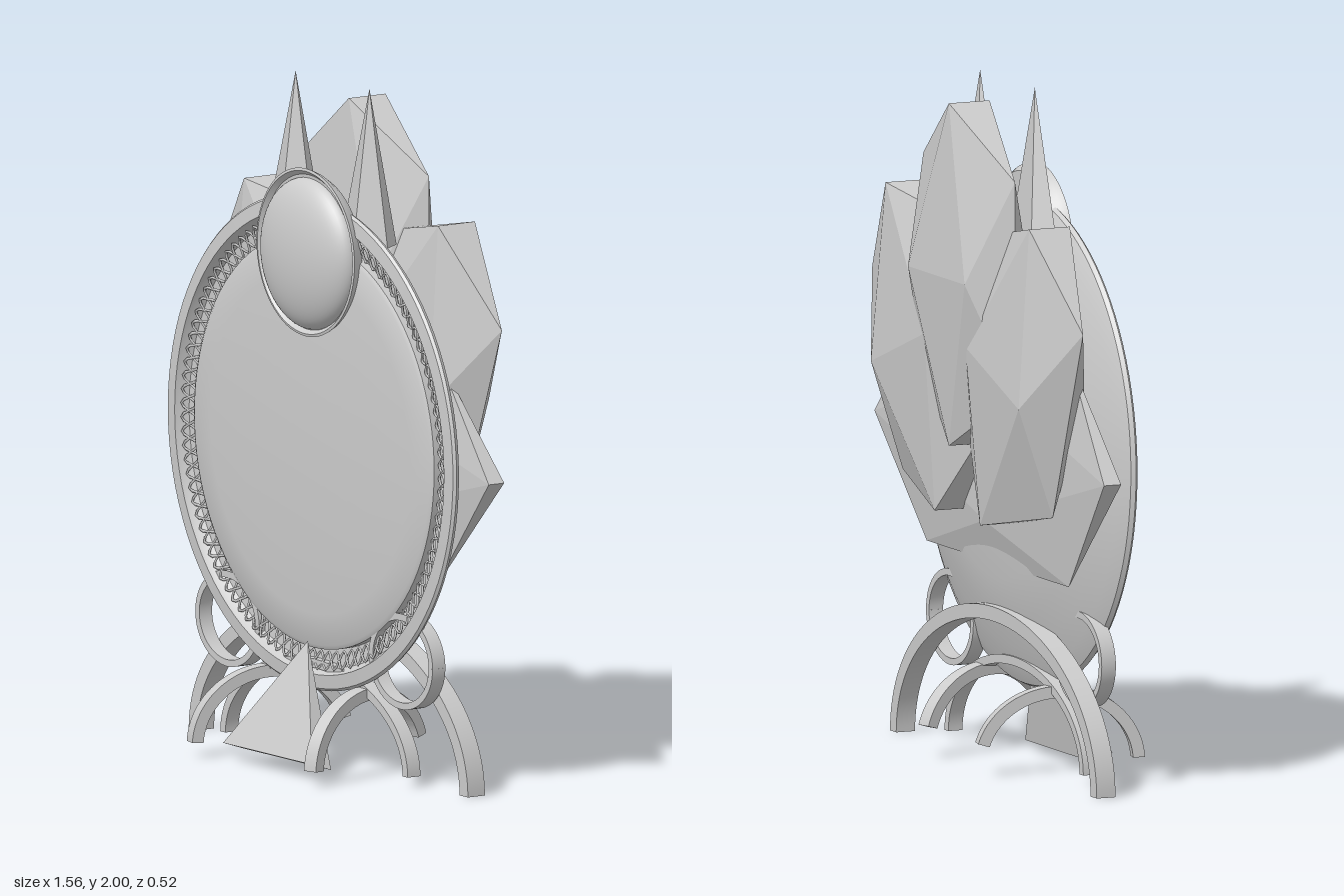
import * as THREE from 'three';
import { toCreasedNormals } from 'three/addons/utils/BufferGeometryUtils.js';

const GOLDEN = (1 + Math.sqrt(5)) / 2;
const DISC_Y = 0.945;

export function createModel() {
  const root = new THREE.Group();
  const smooth = new THREE.MeshStandardMaterial({ color: 0xcccccc, side: THREE.DoubleSide });
  const faceted = new THREE.MeshStandardMaterial({ color: 0xcccccc, flatShading: true });

  const add = (name, geometry, material, x = 0, y = 0, z = 0) => {
    const mesh = new THREE.Mesh(geometry, material);
    mesh.name = name;
    mesh.position.set(x, y, z);
    root.add(mesh);
    return mesh;
  };

  // Turned part whose axis points to the front; points are [radius, z]
  const turned = (points, segments = 96) => {
    const g = new THREE.LatheGeometry(points.map(p => new THREE.Vector2(...p)), segments);
    return toCreasedNormals(g.rotateX(Math.PI / 2), 0.5);
  };

  // Stretched twenty-sided crystal given by its half extents
  const crystal = (hx, hy, hz, turn) => {
    const g = new THREE.IcosahedronGeometry(Math.sqrt(1 + GOLDEN * GOLDEN), 0);
    if (turn) g.rotateY(Math.PI / 2);
    return g.scale(hx / GOLDEN, hy / GOLDEN, hz / GOLDEN);
  };

  // Flat band following an ellipse
  const band = (rx, ry, width, depth, from = 0, to = Math.PI) => {
    const s = new THREE.Shape();
    s.absellipse(0, 0, rx, ry, from, to, false);
    s.absellipse(0, 0, rx - width, ry - width, to, from, true);
    s.closePath();
    const g = new THREE.ExtrudeGeometry(s, { depth, bevelEnabled: false, curveSegments: 32 });
    return toCreasedNormals(g.translate(0, 0, -depth / 2), 0.6);
  };

  // Round frame: bowl at the back, rim and recessed channel at the front
  add('frame', turned([
    [0, -0.1], [0.2, -0.095], [0.4, -0.073], [0.52, -0.048], [0.6, -0.02], [0.67, 0.0],
    [0.715, 0.022], [0.722, 0.035], [0.715, 0.043], [0.675, 0.047], [0.67, 0.035],
    [0.655, 0.01], [0.6, 0.005], [0.58, 0.005],
  ]), smooth, 0, DISC_Y);

  // Gently domed plate
  add('plate', turned([
    [0.602, 0.0], [0.602, 0.03], [0.59, 0.037], [0.5, 0.045], [0.35, 0.053], [0.18, 0.058], [0, 0.06],
  ]), smooth, 0, DISC_Y);

  // Lattice of two crossing zigzag wires in the channel
  const lobes = 50;
  for (const sign of [-1, 1]) {
    const path = new THREE.Curve();
    path.getPoint = (t, target = new THREE.Vector3()) => {
      const a = t * Math.PI * 2;
      const wave = sign * Math.sin(a * lobes);
      const r = 0.635 + 0.025 * wave;
      return target.set(r * Math.cos(a), r * Math.sin(a), 0.025 + 0.008 * wave);
    };
    path.getPointAt = path.getPoint;
    path.getTangentAt = path.getTangent;
    add('latticeWire', new THREE.TubeGeometry(path, lobes * 8, 0.0045, 4, true), smooth, 0, DISC_Y);
  }

  // Domed gem at the top and its setting
  add('gemSetting', turned([
    [0, 0.02], [0.22, 0.02], [0.238, 0.045], [0.246, 0.064], [0.238, 0.066], [0.226, 0.052], [0.2, 0.05],
  ], 64), smooth, 0.005, 1.505);
  const dome = new THREE.SphereGeometry(1, 48, 16, 0, Math.PI * 2, 0, Math.PI / 2);
  add('gem', dome.rotateX(Math.PI / 2).scale(0.222, 0.222, 0.08), smooth, 0.005, 1.5, 0.048);

  // Crystals behind the frame
  add('centreCrystal', crystal(0.31, 0.5, 0.105, true), faceted, 0, 1.44, -0.157);
  for (const side of [-1, 1]) {
    add('sideCrystal', crystal(0.31, 0.485, 0.105, true), faceted, side * 0.32, 1.183, -0.13)
      .rotation.z = -side * 0.35;
  }
  add('wingCrystal', crystal(0.778, 0.34, 0.044, false), faceted, 0, 0.925, -0.066);

  // Legs and arches below the frame
  add('rearArch', band(0.7, 0.46, 0.042, 0.06), smooth, 0, 0, -0.05);
  add('middleArch', band(0.47, 0.28, 0.026, 0.045), smooth, 0, 0.03, 0.008);
  for (const side of [-1, 1]) {
    add('spike', new THREE.ConeGeometry(0.122, 0.45, 5).scale(1, 1, 0.46), faceted, side * 0.185, 1.775, -0.035);
    add('sideRing', band(0.16, 0.14, 0.02, 0.045, 0, Math.PI * 2 - 0.001), smooth, side * 0.435, 0.365, 0.008);
    // Crosswise arch, running from front to back
    add('crossArch', band(0.25, 0.225, 0.035, 0.045, 0.05, Math.PI - 0.28), smooth, side * 0.24, 0.035, 0.015)
      .rotation.y = -Math.PI / 2 + side * 0.25;
  }

  // Leaning pyramid at the front
  const pyramid = new THREE.ConeGeometry(Math.SQRT2, 0.345, 4, 1, false, Math.PI / 4);
  add('frontPyramid', pyramid.scale(0.222, 1, 0.036).translate(0, -0.1725, 0), faceted, 0, 0.365, 0.052)
    .rotation.x = -0.32;

  return root;
}
